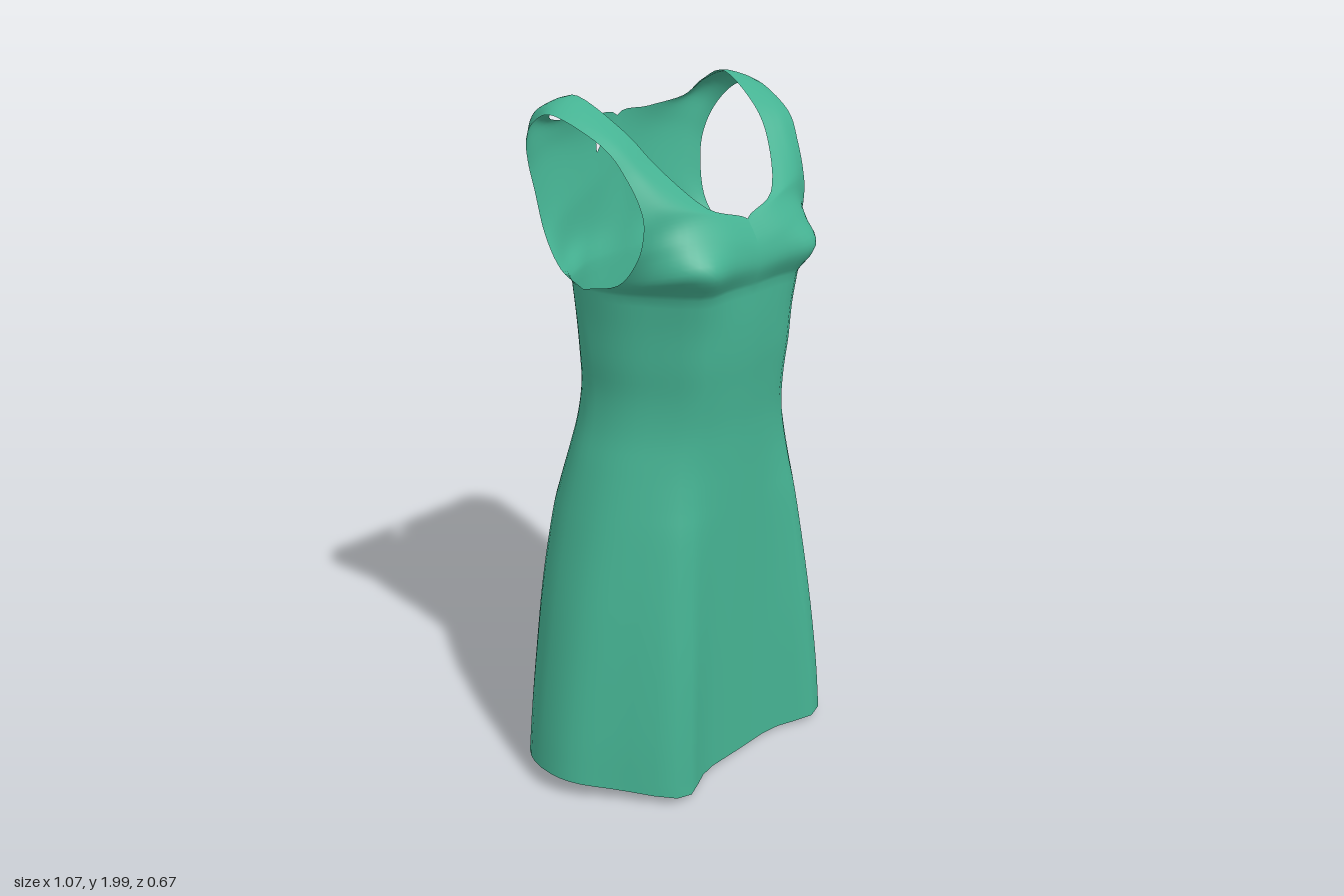
import * as THREE from 'three';
import { mergeVertices } from 'three/addons/utils/BufferGeometryUtils.js';

const ACROSS = 14; // cells over a quarter of the waist
const PER_RIB = 5; // cells between two ribs of the upper bodice

// Body sections: y, half width, front depth, back depth, front fold, back fold
const sections = [
  [0.0, 0.535, 0.27, 0.31, 0.11, 0.05],
  [0.2, 0.52, 0.27, 0.305, 0.1, 0.045],
  [0.4, 0.49, 0.27, 0.3, 0.085, 0.035],
  [0.6, 0.455, 0.27, 0.295, 0.065, 0.03],
  [0.8, 0.41, 0.27, 0.28, 0.045, 0.025],
  [0.9, 0.385, 0.27, 0.255, 0.03, 0.02],
  [1.0, 0.358, 0.27, 0.225, 0.02, 0.015],
  [1.1, 0.33, 0.272, 0.2, 0.02, 0.01],
  [1.2, 0.317, 0.28, 0.185, 0.025, 0.005],
  [1.3, 0.322, 0.29, 0.178, 0.03, 0.005],
  [1.4, 0.326, 0.295, 0.18, 0.035, 0.005],
  [1.5, 0.335, 0.295, 0.185, 0.05, 0.01],
];

// Four lines over the shoulder, from front waist side to back:
// neckline edge, two lines between, armhole edge
const neckLine = [
  [0, 1.5, 0.295], [0, 1.56, 0.315], [0, 1.62, 0.305], [0, 1.68, 0.268],
  [0.13, 1.725, 0.24], [0.22, 1.83, 0.155], [0.26, 1.92, 0.07], [0.29, 2.0, -0.07],
  [0.285, 1.97, -0.15], [0.265, 1.92, -0.205], [0.13, 1.905, -0.218], [0, 1.895, -0.215],
  [0, 1.75, -0.21], [0, 1.6, -0.195], [0, 1.5, -0.185],
];
const innerLine = [
  [0.17, 1.5, 0.295], [0.17, 1.57, 0.333], [0.14, 1.64, 0.305], [0.12, 1.7, 0.265],
  [0.2, 1.74, 0.235], [0.26, 1.83, 0.163], [0.3, 1.92, 0.08], [0.33, 1.995, -0.065],
  [0.32, 1.97, -0.16], [0.31, 1.92, -0.21], [0.22, 1.87, -0.225], [0.13, 1.82, -0.227],
  [0.13, 1.7, -0.215], [0.13, 1.58, -0.2], [0.17, 1.5, -0.16],
];
const outerLine = [
  [0.29, 1.5, 0.15], [0.27, 1.57, 0.285], [0.25, 1.64, 0.27], [0.23, 1.7, 0.245],
  [0.27, 1.75, 0.218], [0.3, 1.83, 0.165], [0.335, 1.915, 0.09], [0.37, 1.98, -0.05],
  [0.36, 1.965, -0.15], [0.345, 1.91, -0.2], [0.29, 1.85, -0.22], [0.25, 1.78, -0.22],
  [0.24, 1.66, -0.2], [0.24, 1.56, -0.175], [0.29, 1.5, -0.1],
];
const armholeLine = [
  [0.335, 1.5, -0.02], [0.335, 1.535, 0.11], [0.335, 1.61, 0.18], [0.33, 1.68, 0.2],
  [0.33, 1.74, 0.195], [0.345, 1.82, 0.16], [0.37, 1.9, 0.1], [0.4, 1.965, -0.04],
  [0.395, 1.945, -0.12], [0.38, 1.89, -0.175], [0.355, 1.82, -0.2], [0.335, 1.74, -0.2],
  [0.325, 1.62, -0.175], [0.33, 1.535, -0.11], [0.335, 1.5, -0.02],
];

const spline = (points) => new THREE.CatmullRomCurve3(points, false, 'catmullrom', 0.5);
const bump = (a, centre, width) => Math.exp(-(((a - centre) / width) ** 2));

// Point of one section; angle a runs from centre front (0) to centre back (PI)
function sectionPoint([y, w, front, back, foldF, foldB], a) {
  const c = Math.cos(a), s = Math.sin(a);
  const side = -0.02 * THREE.MathUtils.smoothstep(y, 1.2, 1.5);
  const reach = Math.abs(c) ** 0.9;
  const z = c >= 0
    ? side + (front - side) * reach + foldF * bump(a, 0.63, 0.25)
    : side - (back + side) * reach - foldB * bump(Math.PI - a, 0.43, 0.22);
  const hem = y === 0 ? 0.01 + 0.06 * s * s : y;
  return new THREE.Vector3(w * s, hem, z);
}

// Lower body: columns of points from hem to armhole base
function bodyGrid() {
  const rows = 44, columns = [];
  for (let i = 0; i <= 2 * ACROSS; i++) {
    const a = (i / (2 * ACROSS)) * Math.PI;
    columns.push(spline(sections.map((s) => sectionPoint(s, a))).getPoints(rows));
  }
  return columns;
}

// Upper bodice and strap: ribs from neckline to armhole, carried over the shoulder
function upperGrid() {
  const lines = [neckLine, innerLine, outerLine, armholeLine]
    .map((l) => spline(l.map((p) => new THREE.Vector3(...p))));
  const rows = (neckLine.length - 1) * PER_RIB;
  const ribs = [];
  for (let j = 0; j <= rows; j++) {
    ribs.push(spline(lines.map((l) => l.getPoint(j / rows))).getPoints(ACROSS));
  }
  // Ease both ends onto the top section of the lower body
  const top = sections[sections.length - 1];
  const fade = 2 * PER_RIB;
  for (let i = 0; i <= ACROSS; i++) {
    const a = (i / ACROSS) * Math.PI / 2;
    const first = sectionPoint(top, a).sub(ribs[0][i]);
    const last = sectionPoint(top, Math.PI - a).sub(ribs[rows][i]);
    for (let j = 0; j < fade; j++) {
      ribs[j][i].addScaledVector(first, 1 - j / fade);
      ribs[rows - j][i].addScaledVector(last, 1 - j / fade);
    }
  }
  return ribs[0].map((_, i) => ribs.map((rib) => rib[i]));
}

// Small keyhole gap below the back neckline
function inKeyhole(p) {
  return p.z < -0.15 && p.x < 0 && p.x > -0.07 && Math.abs(p.y - 1.847) < 0.022 * (-p.x / 0.07) + 0.004;
}

// Both mirrored halves of a grid as triangles
function addGrid(grid, out) {
  for (const sign of [1, -1]) {
    const put = (a, b, c) => {
      const tri = (sign > 0 ? [a, b, c] : [a, c, b])
        .map((p) => new THREE.Vector3(Math.abs(p.x) < 1e-4 ? 0 : sign * p.x, p.y, p.z));
      const mid = tri[0].clone().add(tri[1]).add(tri[2]).divideScalar(3);
      if (!inKeyhole(mid)) tri.forEach((p) => out.push(p.x, p.y, p.z));
    };
    for (let i = 0; i < grid.length - 1; i++) {
      for (let j = 0; j < grid[i].length - 1; j++) {
        put(grid[i][j], grid[i + 1][j], grid[i + 1][j + 1]);
        put(grid[i][j], grid[i + 1][j + 1], grid[i][j + 1]);
      }
    }
  }
}

export function createModel() {
  const model = new THREE.Group();
  model.name = 'dress';
  const fabric = new THREE.MeshStandardMaterial({ color: 0x45b292, side: THREE.DoubleSide });
  fabric.name = 'green fabric';

  // One welded cloth, so shading stays smooth over the part borders
  const positions = [];
  addGrid(bodyGrid(), positions);
  addGrid(upperGrid(), positions);
  let cloth = new THREE.BufferGeometry();
  cloth.setAttribute('position', new THREE.Float32BufferAttribute(positions, 3));
  cloth = mergeVertices(cloth, 1e-4);
  cloth.computeVertexNormals();

  // Share the cloth out between skirt, bodice and straps by height
  const parts = { skirt: [], bodice: [], shoulderStraps: [] };
  const index = cloth.index.array, pos = cloth.attributes.position;
  for (let t = 0; t < index.length; t += 3) {
    const tri = [index[t], index[t + 1], index[t + 2]];
    const y = tri.reduce((sum, v) => sum + pos.getY(v) / 3, 0);
    const part = y < 1.15 ? 'skirt' : y < 1.9 ? 'bodice' : 'shoulderStraps';
    parts[part].push(...tri);
  }
  for (const [name, faces] of Object.entries(parts)) {
    const geometry = cloth.clone();
    geometry.setIndex(faces);
    const mesh = new THREE.Mesh(geometry, fabric);
    mesh.name = name;
    model.add(mesh);
  }
  return model;
}
